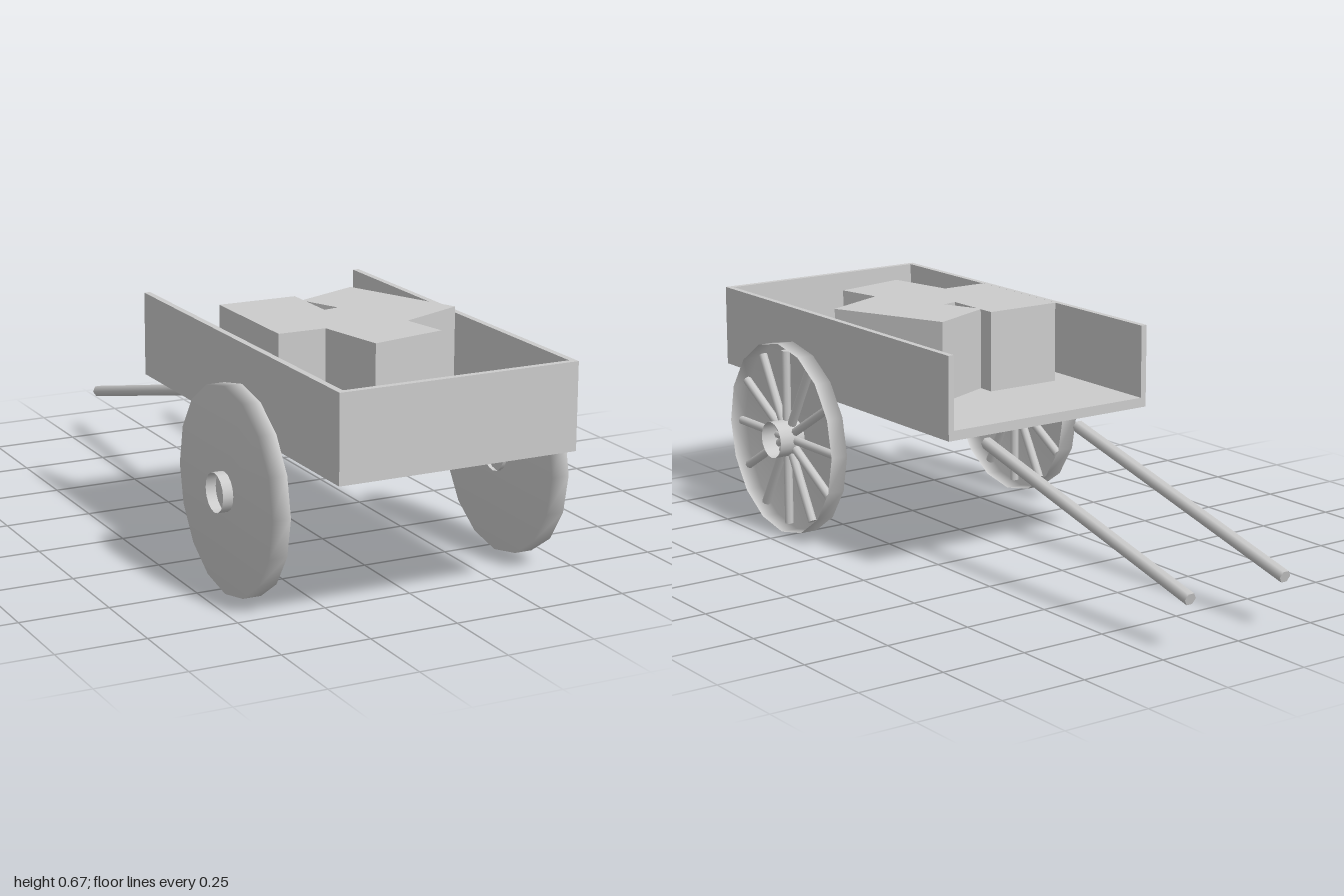
import * as THREE from 'three';

const grey = new THREE.MeshStandardMaterial({ color: 0xcccccc });
const greyDouble = new THREE.MeshStandardMaterial({ color: 0xcccccc, side: THREE.DoubleSide });

function add(parent, name, geometry, position, material = grey) {
  const mesh = new THREE.Mesh(geometry, material);
  mesh.name = name;
  mesh.position.set(...position);
  parent.add(mesh);
  return mesh;
}

// Wheel along x: a shallow dish open towards +x, an open hub tube and twelve spokes
function makeWheel(name, x) {
  const wheel = new THREE.Group();
  wheel.name = name;
  wheel.position.set(x, 0.283, 0.54);

  const radius = 0.283, half = 0.026;
  const profile = [[0, -half], [radius, -half], [radius, half]].map(p => new THREE.Vector2(...p));
  const dish = add(wheel, 'wheelDish', new THREE.LatheGeometry(profile, 16), [0, 0, 0], greyDouble);
  dish.rotation.z = -Math.PI / 2;

  const hub = add(wheel, 'hub', new THREE.CylinderGeometry(0.054, 0.054, 0.092, 16, 1, true),
    [Math.sign(x) * 0.009, 0, 0], greyDouble);
  hub.rotation.z = -Math.PI / 2;

  const spokeGeometry = new THREE.CylinderGeometry(0.013, 0.013, 0.26, 8);
  spokeGeometry.translate(0, 0.13, 0);
  for (let i = 0; i < 12; i++) {
    add(wheel, 'spoke', spokeGeometry, [0, 0, 0]).rotation.x = i * Math.PI / 6;
  }
  return wheel;
}

// Round bar between two points
function makeBar(parent, name, from, to, radius, sides) {
  const a = new THREE.Vector3(...from), b = new THREE.Vector3(...to);
  const dir = b.clone().sub(a);
  const geometry = new THREE.CylinderGeometry(radius, radius, dir.length(), sides);
  geometry.rotateY(Math.PI / 2);
  const bar = add(parent, name, geometry, a.add(b).multiplyScalar(0.5).toArray());
  bar.quaternion.setFromUnitVectors(new THREE.Vector3(0, 1, 0), dir.normalize());
}

export function createModel() {
  const cart = new THREE.Group();
  cart.name = 'handcart';

  // Bed: floor, front board and side boards, open at the back
  add(cart, 'floor', new THREE.BoxGeometry(0.684, 0.028, 1.19), [0, 0.426, 0.405]);
  add(cart, 'frontBoard', new THREE.BoxGeometry(0.684, 0.21, 0.018), [0, 0.545, 0.991]);
  for (const s of [-1, 1]) {
    const side = s > 0 ? 'left' : 'right';
    add(cart, side + 'SideBoard', new THREE.BoxGeometry(0.018, 0.21, 1.172), [s * 0.333, 0.545, 0.396]);
    cart.add(makeWheel(side + 'Wheel', s * 0.411));
    makeBar(cart, side + 'Handle', [s * 0.16, 0.365, -0.11], [s * 0.16, 0.142, -0.996], 0.018, 6);
  }

  // Load: three bales, given as x, z, width, length and turn
  const bales = [
    [-0.14, 0.3075, 0.23, 0.365, 0],
    [0.14, 0.303, 0.215, 0.365, 0.41],
    [-0.003, 0.488, 0.225, 0.367, 0.205],
  ];
  for (const [x, z, width, length, turn] of bales) {
    add(cart, 'bale', new THREE.BoxGeometry(width, 0.233, length), [x, 0.5565, z]).rotation.y = turn;
  }
  return cart;
}
